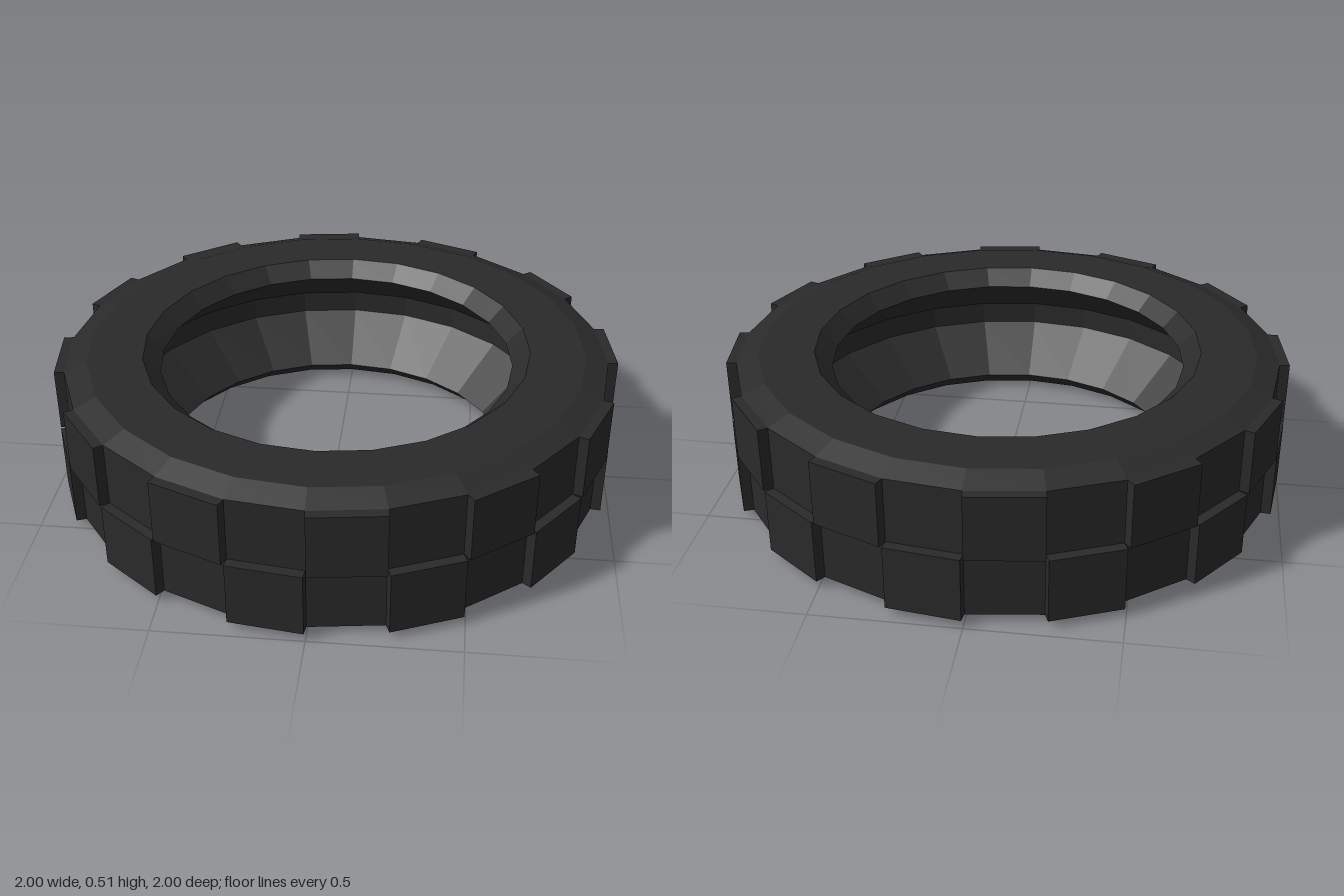
import * as THREE from 'three';

const SIDES = 24;
const STEP = (Math.PI * 2) / SIDES;
const H = 0.514;          // tyre width (lying flat)
const R = 0.965;          // carcass radius at its corners
const TREAD = 0.0353;     // height of the tread blocks

export function createModel() {
  const model = new THREE.Group();
  model.name = 'tyre';

  const rubber = new THREE.MeshStandardMaterial({ color: 0x2a2a2a, flatShading: true });
  rubber.name = 'dark rubber';

  // Carcass: lower half of the profile from the inner cavity out to the tread, then mirrored
  const lower = [
    [0.82, 0.215], [0.63, 0.057], [0.69, 0], [0.885, 0], [R, 0.029],
  ];
  const upper = lower.map(([r, y]) => [r, H - y]).reverse();
  const profile = [...lower, ...upper, lower[0]].map(([r, y]) => new THREE.Vector2(r, y));
  const carcass = new THREE.Mesh(new THREE.LatheGeometry(profile, SIDES), rubber);
  carcass.name = 'carcass';
  model.add(carcass);

  // Tread: two rows of blocks, each covering every other facet, staggered
  const sink = 0.01;
  const rowHeight = H / 2 - 0.029;
  const width = 2 * R * Math.sin(STEP / 2);
  const blockGeometry = new THREE.BoxGeometry(width, rowHeight, TREAD + sink);
  blockGeometry.translate(0, 0, R * Math.cos(STEP / 2) + (TREAD - sink) / 2);

  const rows = [
    { name: 'upperTread', y: H / 2 + rowHeight / 2, offset: 0 },
    { name: 'lowerTread', y: H / 2 - rowHeight / 2, offset: 1 },
  ];
  for (const { name, y, offset } of rows) {
    const row = new THREE.Group();
    row.name = name;
    for (let i = offset; i < SIDES; i += 2) {
      const block = new THREE.Mesh(blockGeometry, rubber);
      block.name = 'treadBlock';
      block.position.y = y;
      block.rotation.y = (i + 0.5) * STEP;
      row.add(block);
    }
    model.add(row);
  }

  return model;
}
